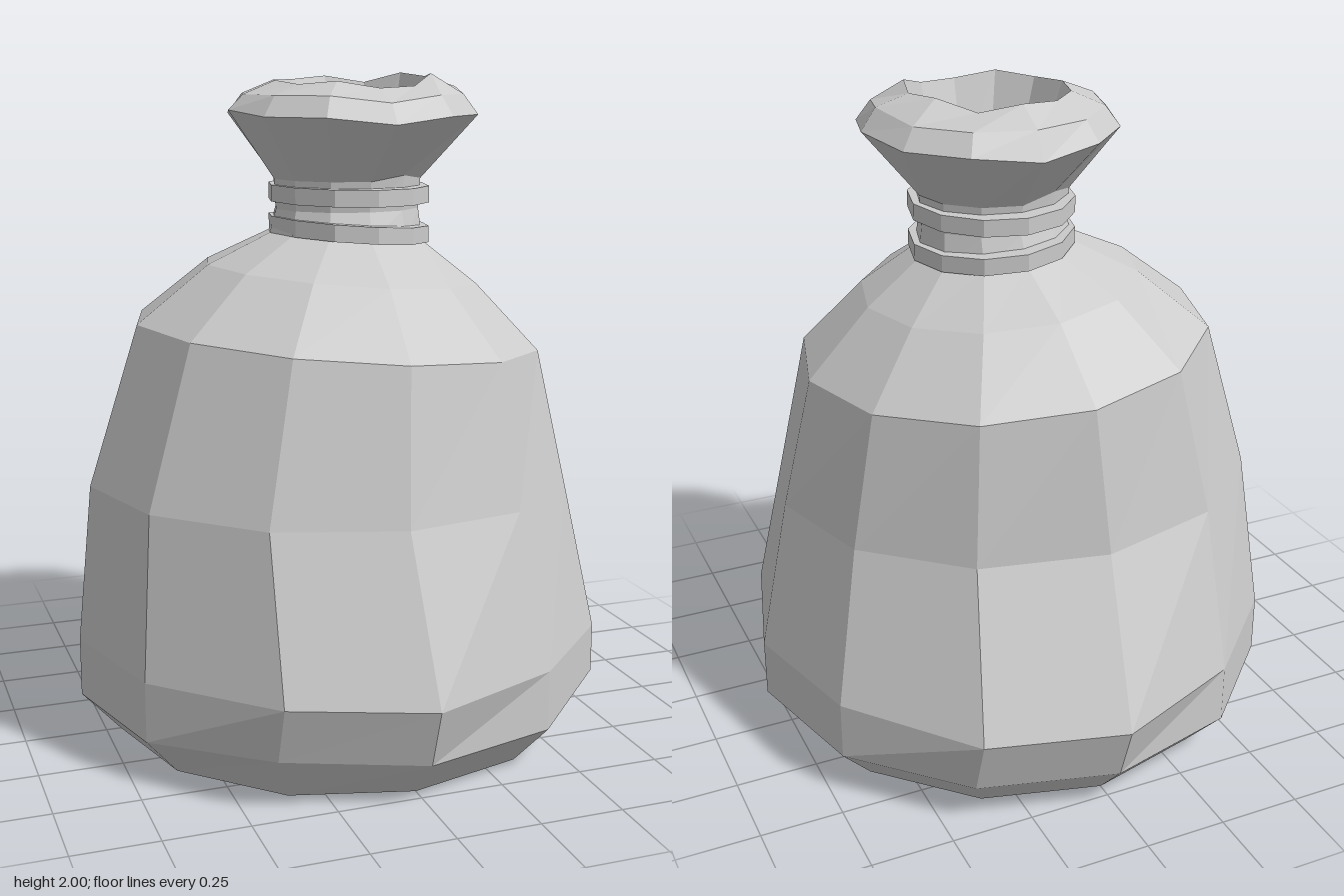
import * as THREE from 'three';

const SIDES = 12;

// One cross-section: centre, radii, height, slope along x, and small vertex offsets {index: [dx, dy, dz]}
function ring({ y, cx = 0, cz = 0, rx, rz = rx, tilt = 0, nudge = {} }) {
  return Array.from({ length: SIDES }, (_, i) => {
    const a = (i / SIDES) * Math.PI * 2;
    const x = Math.cos(a) * rx;
    const [dx, dy, dz] = nudge[i] || [0, 0, 0];
    return [cx + x + dx, y + tilt * x + dy, cz + Math.sin(a) * rz + dz];
  });
}

// Skins consecutive rings with faceted quads and optionally closes both ends
function loft(name, sections, capped, material) {
  const rings = sections.map(ring);
  const pos = [];
  const tri = (a, b, c) => pos.push(...a, ...b, ...c);
  for (let r = 0; r < rings.length - 1; r++) {
    for (let i = 0; i < SIDES; i++) {
      const j = (i + 1) % SIDES;
      const [lo, up] = [rings[r], rings[r + 1]];
      tri(lo[i], up[i], lo[j]);
      tri(lo[j], up[i], up[j]);
    }
  }
  if (capped) {
    const cap = (pts, flip) => {
      const mid = [0, 1, 2].map(k => pts.reduce((s, p) => s + p[k], 0) / SIDES);
      pts.forEach((p, i) => {
        const q = pts[(i + 1) % SIDES];
        flip ? tri(mid, q, p) : tri(mid, p, q);
      });
    };
    cap(rings[0], false);
    cap(rings[rings.length - 1], true);
  }
  const geometry = new THREE.BufferGeometry();
  geometry.setAttribute('position', new THREE.Float32BufferAttribute(pos, 3));
  geometry.computeVertexNormals();
  const mesh = new THREE.Mesh(geometry, material);
  mesh.name = name;
  return mesh;
}

export function createModel() {
  const group = new THREE.Group();
  group.name = 'tiedSack';
  const material = new THREE.MeshStandardMaterial({ color: 0xcccccc, flatShading: true });

  // Sack: base, sagging belly, shoulders, neck, flared mouth and the hollow inside it
  group.add(loft('sack', [
    { y: 0, rx: 0.705, nudge: { 1: [0, 0.025, 0] } },
    { y: 0.13, rx: 0.823, nudge: { 1: [0, 0.03, 0], 4: [0, 0.025, 0] } },
    {
      y: 0.31, rx: 0.823,
      nudge: { 3: [0, 0, 0.06], 4: [0, 0.02, 0.06], 9: [0, 0, -0.06], 10: [0, 0, -0.06] },
    },
    { y: 0.78, cx: -0.03, cz: 0.025, rx: 0.75, rz: 0.695, tilt: -0.02 },
    { y: 1.22, cx: 0.005, rx: 0.625, tilt: -0.08 },
    { y: 1.405, cx: 0.02, rx: 0.42, rz: 0.425, tilt: -0.083 },
    { y: 1.515, cx: 0.035, rx: 0.24, rz: 0.235, tilt: -0.06 },
    { y: 1.6, cx: 0.04, rx: 0.225, rz: 0.205 },
    { y: 1.69, cx: 0.04, rx: 0.23, rz: 0.215, nudge: { 2: [0, 0.015, 0], 8: [0, 0.02, 0] } },
    {
      y: 1.88, cx: 0.055, rx: 0.385,
      nudge: { 0: [0, 0.015, 0], 3: [0, -0.02, 0], 6: [0, 0.015, 0], 9: [0, -0.02, 0] },
    },
    { y: 1.94, cx: 0.055, rx: 0.34, nudge: { 0: [0, 0.02, 0], 3: [0, -0.02, 0] } },
    {
      y: 1.98, cx: 0.055, rx: 0.24, rz: 0.245,
      nudge: {
        0: [0, 0.01, 0], 1: [0, 0.02, 0], 2: [0, -0.015, 0], 3: [0, -0.02, 0],
        5: [0, -0.01, 0], 9: [0, 0.01, 0], 10: [0, -0.01, 0], 11: [0, 0.02, 0],
      },
    },
    { y: 1.72, cx: 0.065, rx: 0.165 },
  ], true, material));

  // Two turns of cord around the neck, the lower one slanting
  const cord = { cx: 0.045, rx: 0.245, rz: 0.268 };
  const inner = { cx: 0.045, rx: 0.19, rz: 0.19 };
  [['lowerCord', 1.537, -0.07], ['upperCord', 1.645, -0.01]].forEach(([name, y, tilt]) => {
    const [lo, hi] = [y - 0.025, y + 0.025];
    group.add(loft(name, [
      { ...inner, y: lo, tilt },
      { ...cord, y: lo, tilt },
      { ...cord, y: hi, tilt },
      { ...inner, y: hi, tilt },
    ], false, material));
  });

  return group;
}
